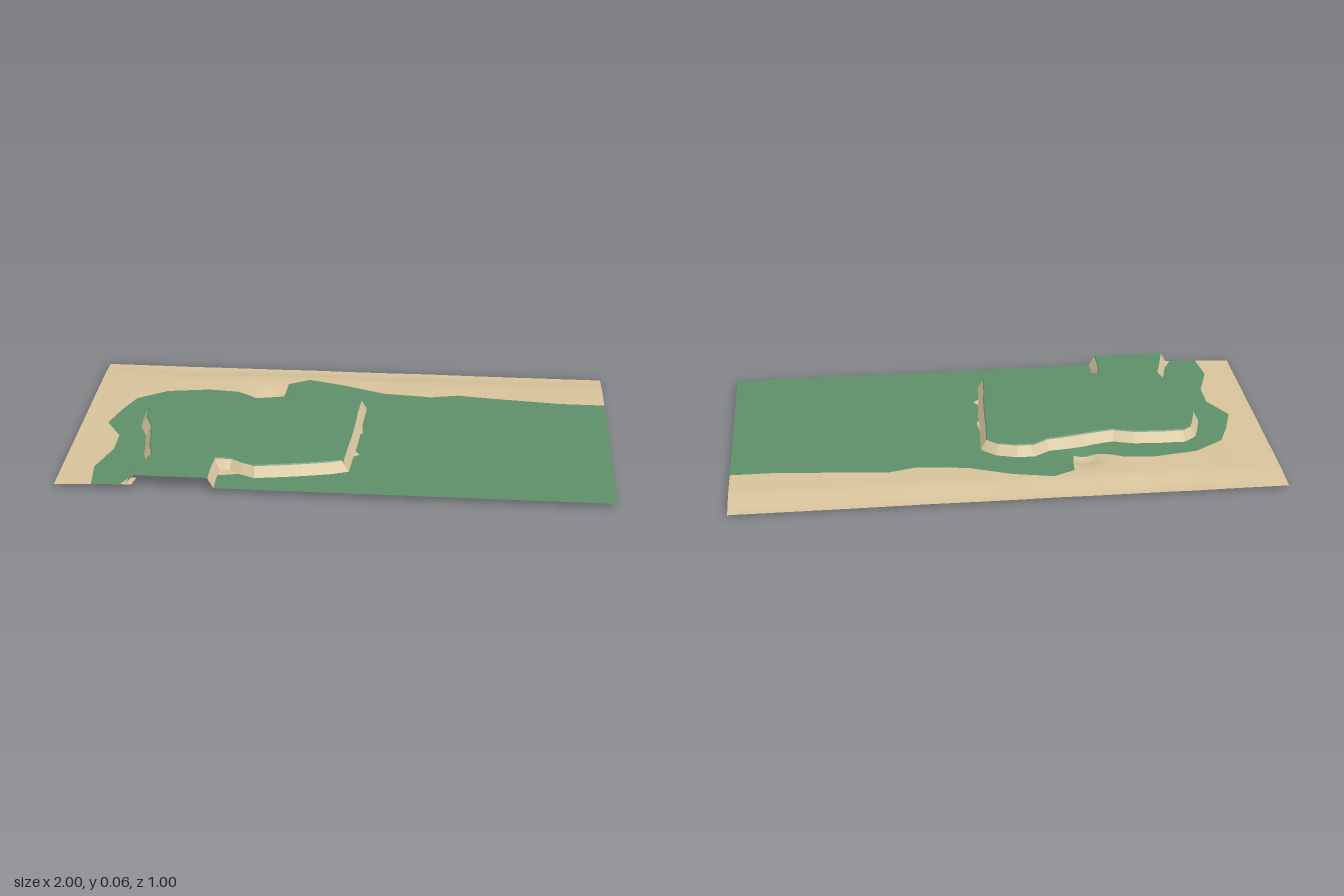
import * as THREE from 'three';
import { mergeVertices } from 'three/addons/utils/BufferGeometryUtils.js';

const SIDE = { side: THREE.DoubleSide };
const sand = new THREE.MeshStandardMaterial({ name: 'sand', color: 0xd8c49c, ...SIDE });
const grass = new THREE.MeshStandardMaterial({ name: 'grass', color: 0x5f9069, ...SIDE });
const cliffSand = new THREE.MeshStandardMaterial({ name: 'cliffSand', color: 0xdcc9a2, flatShading: true, ...SIDE });

// Border between beach and grass, from the front left round to the back right
const shore = [
  [-0.865, 0.5], [-0.88, 0.375], [-0.835, 0.24], [-0.835, 0.135], [-0.9, 0.03], [-0.865, -0.08],
  [-0.825, -0.175], [-0.715, -0.245], [-0.555, -0.27], [-0.44, -0.26], [-0.35, -0.215], [-0.26, -0.215],
  [-0.25, -0.28], [-0.245, -0.34], [-0.165, -0.38], [-0.02, -0.345], [0.14, -0.285], [0.325, -0.265],
  [0.43, -0.29], [0.62, -0.27], [0.83, -0.25], [1, -0.25]];
const CORNER = 6;

// Plateau cliff line, clockwise from the front left
const cliffLine = [
  [-0.73, 0.5], [-0.7, 0.4], [-0.685, 0.335], [-0.705, 0.275], [-0.71, 0.2], [-0.72, 0.125], [-0.755, 0.055],
  [-0.76, -0.01], [-0.74, -0.07], [-0.72, -0.13], [-0.685, -0.163], [-0.61, -0.16], [-0.5, -0.15], [-0.42, -0.13],
  [-0.34, -0.147], [-0.245, -0.163], [-0.165, -0.175], [-0.11, -0.215], [-0.05, -0.215], [0.02, -0.19],
  [0.065, -0.15], [0.065, -0.08], [0.06, -0.01], [0.05, 0.11], [0.043, 0.215], [0.037, 0.34], [-0.02, 0.355],
  [-0.155, 0.38], [-0.29, 0.405], [-0.34, 0.385], [-0.38, 0.355], [-0.435, 0.355], [-0.435, 0.42], [-0.435, 0.5]];

const bump = (x, z, cx, cz, r, h) => h * Math.exp(-((x - cx) ** 2 + (z - cz) ** 2) / (r * r));

// Height of the low ground: beach rising from the back and left edges, with a few hollows
function groundHeight(x, z) {
  const s = THREE.MathUtils.smoothstep;
  const back = 0.01 + 0.015 * s(z, -0.49, -0.37);
  const left = 0.017 + 0.008 * s(x, -1, -0.82);
  return Math.min(back, left)
    + bump(x, z, -0.3, -0.24, 0.055, -0.024) + bump(x, z, -0.66, -0.42, 0.06, -0.006)
    + bump(x, z, -0.42, -0.38, 0.06, 0.004) + bump(x, z, -0.15, -0.4, 0.1, 0.003)
    + bump(x, z, 0.3, -0.36, 0.14, 0.003) + bump(x, z, 0.5, 0.2, 0.12, -0.003)
    + bump(x, z, 0.75, 0.05, 0.2, 0.002);
}

function densify(points, n) {
  const out = [];
  for (let i = 0; i < points.length - 1; i++) {
    const [a, b] = [points[i], points[i + 1]];
    for (let k = 0; k < n; k++) out.push(a.map((v, j) => v + (b[j] - v) * k / n));
  }
  out.push(points[points.length - 1]);
  return out;
}

function meshFrom(positions, material, name) {
  let geo = new THREE.BufferGeometry();
  geo.setAttribute('position', new THREE.Float32BufferAttribute(positions, 3));
  geo = mergeVertices(geo, 1e-5);
  geo.computeVertexNormals();
  const mesh = new THREE.Mesh(geo, material);
  mesh.name = name;
  return mesh;
}

// Surface joining rows of equally many points
function loft(rows, material, name) {
  const pos = [];
  for (let r = 0; r < rows.length - 1; r++) {
    for (let i = 0; i < rows[r].length - 1; i++) {
      const [a, b, c, d] = [rows[r][i], rows[r][i + 1], rows[r + 1][i + 1], rows[r + 1][i]];
      pos.push(...a, ...b, ...c, ...a, ...c, ...d);
    }
  }
  return meshFrom(pos, material, name);
}

// Filled outline draped over a height function, split until its edges are short
function sheet(outline, height, material, name) {
  const pos = [];
  const pts = outline.map(([x, z]) => new THREE.Vector2(x, z));
  const split = (a, b, c) => {
    const ab = a.distanceTo(b), bc = b.distanceTo(c), ca = c.distanceTo(a);
    const longest = Math.max(ab, bc, ca);
    if (longest > 0.08) {
      if (longest === bc) [a, b, c] = [b, c, a];
      else if (longest === ca) [a, b, c] = [c, a, b];
      const m = a.clone().add(b).multiplyScalar(0.5);
      split(a, m, c);
      split(m, b, c);
      return;
    }
    for (const p of [a, b, c]) pos.push(p.x, height(p.x, p.y), p.y);
  };
  for (const f of THREE.ShapeUtils.triangulateShape(pts, [])) {
    let [a, b, c] = f.map(i => pts[i]);
    if (b.clone().sub(a).cross(c.clone().sub(a)) > 0) [b, c] = [c, b];
    split(a, b, c);
  }
  return meshFrom(pos, material, name);
}

export function createModel() {
  const model = new THREE.Group();
  model.name = 'coastalTerrain';

  // Beach between the outer edge and the grass border
  const outer = shore.map(([x, z], i) => i < CORNER ? [-1, z] : i === CORNER ? [-1, -0.5] : [x, -0.5]);
  const shoreFine = densify(shore, 4), outerFine = densify(outer, 4);
  const beachRows = [];
  for (let r = 0; r <= 14; r++) {
    beachRows.push(shoreFine.map(([sx, sz], i) => {
      const x = outerFine[i][0] + (sx - outerFine[i][0]) * r / 14;
      const z = outerFine[i][1] + (sz - outerFine[i][1]) * r / 14;
      return [x, groundHeight(x, z), z];
    }));
  }
  model.add(loft(beachRows.reverse(), sand, 'beach'));

  // Rugged cliff line, offset outward for the foot and inward for the rim
  const path = densify(cliffLine, 4);
  const offset = (d, rough) => path.map(([x, z], i) => {
    const a = path[Math.max(i - 1, 0)], b = path[Math.min(i + 1, path.length - 1)];
    const dx = b[0] - a[0], dz = b[1] - a[1], len = Math.hypot(dx, dz);
    const push = d + rough * Math.sin(i * 12.9898);
    const end = i === 0 || i === path.length - 1;
    return end ? [x + Math.sign(dz) * push, 0.5] : [x + dz / len * push, Math.min(z - dx / len * push, 0.5)];
  });
  const foot = offset(0.013, 0.003), rim = offset(-0.008, 0.003), lip = offset(-0.012, 0.003);
  const level = (line, y) => line.map(([x, z]) => [x, y, z]);
  const footRow = foot.map(([x, z]) => [x, groundHeight(x, z), z]);
  model.add(loft([footRow, level(rim, 0.062)], cliffSand, 'cliff'));

  // Plateau with a turf edge
  model.add(loft([level(rim, 0.062), level(lip, 0.066)], grass, 'turfEdge'));
  model.add(sheet(lip, () => 0.066, grass, 'plateauTop'));

  // Low meadow between the beach and the cliff foot
  const meadow = [...shoreFine, [1, 0.5], ...foot.slice().reverse()];
  model.add(sheet(meadow, groundHeight, grass, 'meadow'));

  // Bare sand patches at the cliff foot
  const patches = [
    [[0.05, -0.03], [0.073, 0], [0.077, 0.05], [0.05, 0.09]],
    [[0.045, 0.17], [0.076, 0.22], [0.05, 0.24]],
    [[-0.43, 0.365], [-0.38, 0.37], [-0.35, 0.395], [-0.42, 0.41]],
    [[-0.76, 0.5], [-0.735, 0.45], [-0.71, 0.45], [-0.72, 0.5]]];
  for (const p of patches) model.add(sheet(p, (x, z) => groundHeight(x, z) + 0.002, sand, 'sandPatch'));

  return model;
}
